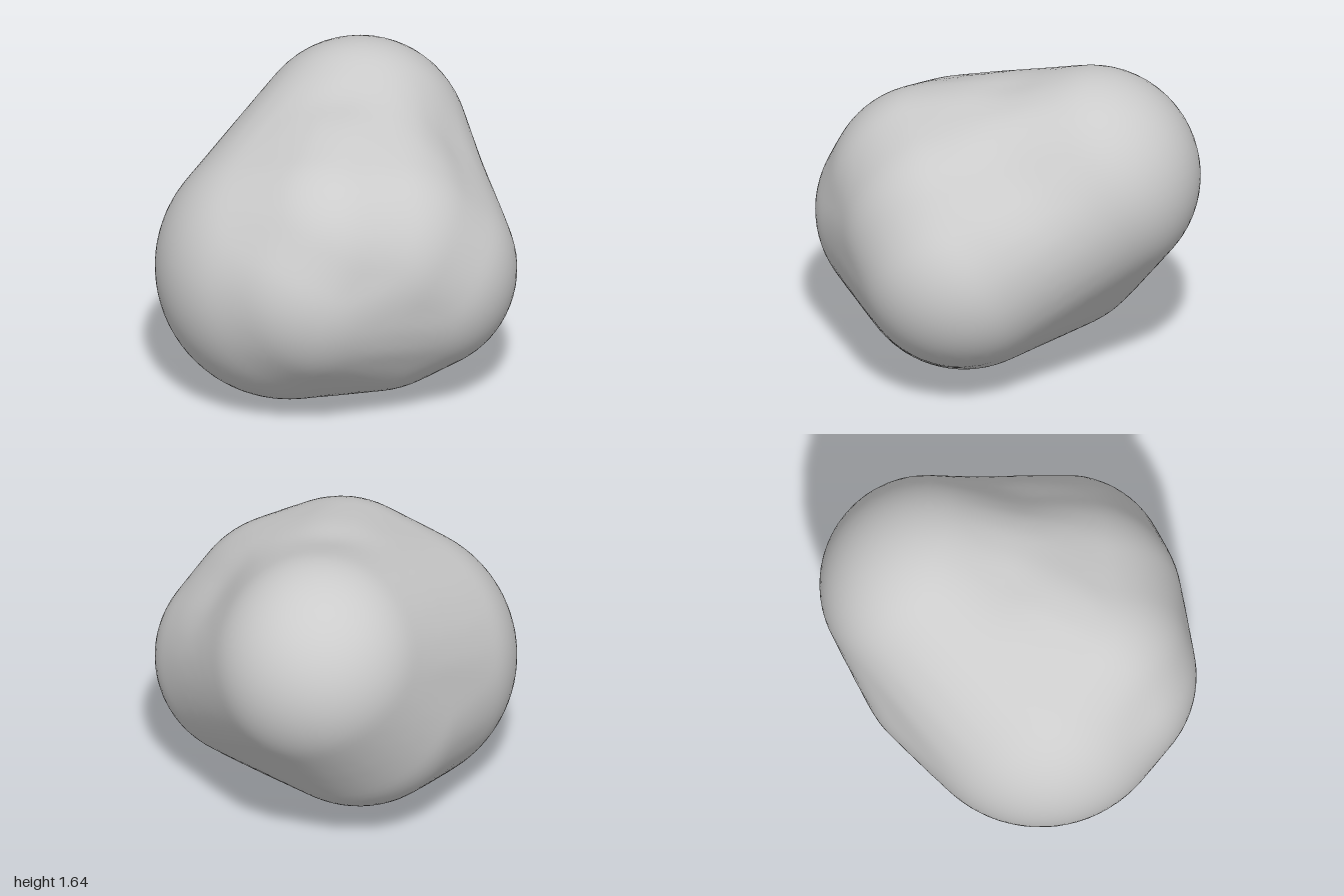
import * as THREE from 'three';
import { mergeVertices } from 'three/addons/utils/BufferGeometryUtils.js';

// Rounded masses wrapped by one taut skin: x, y, z, radius
const masses = [
  [0.42, 1.08, -0.27, 0.57], // crown, upper left rear
  [-0.305, 0.70, -0.18, 0.69], // large rear mass
  [0.06, 0.70, 0.35, 0.535], // nose at the front
  [-0.33, 0.92, 0.10, 0.54], // upper right shoulder
  [0.10, 0.71, -0.30, 0.58], // belly under the crown
  [-0.06, 0.62, 0.17, 0.57], // chin
  [-0.10, 0.85, 0.23, 0.58], // brow above the nose
  [-0.42, 0.75, 0.05, 0.56], // right flank
];
const centre = new THREE.Vector3(0, 0.8, -0.05);

// Soft hollows beside the crown: direction, depth, angular width
const hollows = [
  { dir: new THREE.Vector3(0.05, 0.7, -0.05).normalize(), depth: 0.03, width: 0.25 },
  { dir: new THREE.Vector3(0.35, 0.4, 0.3).normalize(), depth: 0.04, width: 0.35 },
];

// Evenly spread sphere with shared vertices
function evenSphere(detail) {
  const sphere = new THREE.IcosahedronGeometry(1, detail);
  sphere.deleteAttribute('uv');
  sphere.deleteAttribute('normal');
  return mergeVertices(sphere, 1e-4);
}

// Tangent planes of the skin, each stored as normal / distance from the centre
function tangentPlanes() {
  const normals = evenSphere(40).attributes.position;
  const planes = [], n = new THREE.Vector3(), c = new THREE.Vector3();
  for (let i = 0; i < normals.count; i++) {
    n.fromBufferAttribute(normals, i).normalize();
    let reach = 0;
    for (const [x, y, z, r] of masses)
      reach = Math.max(reach, c.set(x, y, z).sub(centre).dot(n) + r);
    planes.push(n.clone().divideScalar(reach));
  }
  return planes;
}

export function createModel() {
  const group = new THREE.Group();
  group.name = 'boulder';

  // Move each vertex out to the nearest tangent plane, then press in the hollows
  const geometry = evenSphere(18);
  const planes = tangentPlanes();
  const pos = geometry.attributes.position;
  const dir = new THREE.Vector3();
  for (let i = 0; i < pos.count; i++) {
    dir.fromBufferAttribute(pos, i).normalize();
    let inverse = 0;
    for (const plane of planes) inverse = Math.max(inverse, plane.dot(dir));
    let radius = 1 / inverse;
    for (const h of hollows)
      radius -= h.depth * Math.exp(-((dir.angleTo(h.dir) / h.width) ** 2));
    dir.multiplyScalar(radius).add(centre);
    pos.setXYZ(i, dir.x, dir.y, dir.z);
  }

  // Stand it on the ground
  geometry.computeBoundingBox();
  geometry.translate(0, -geometry.boundingBox.min.y, 0);
  geometry.computeVertexNormals();

  const stone = new THREE.Mesh(geometry, new THREE.MeshStandardMaterial({ color: 0xcccccc }));
  stone.name = 'stone';
  group.add(stone);
  return group;
}
